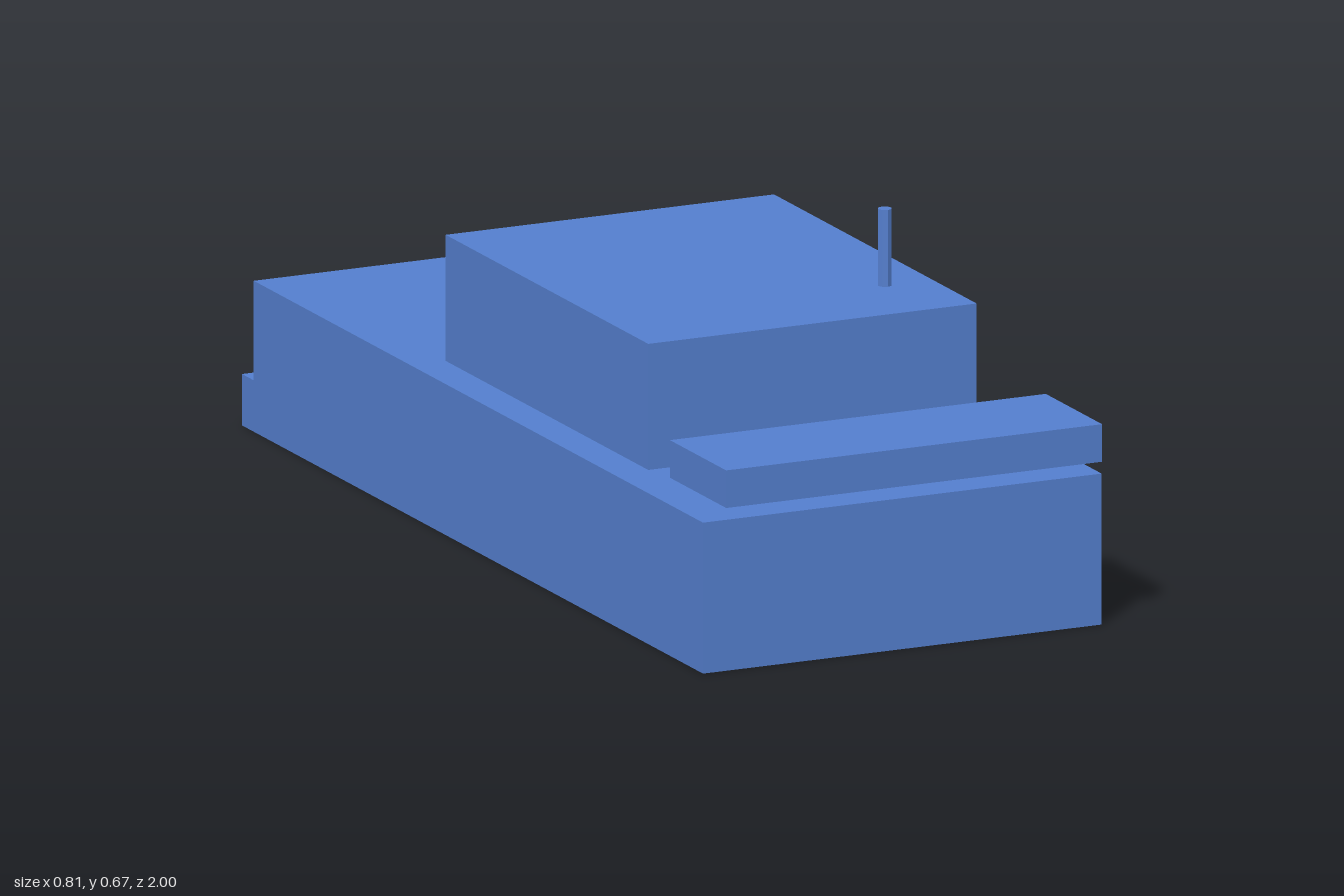
import * as THREE from 'three';

export function createModel() {
  const group = new THREE.Group();
  const blue = new THREE.MeshStandardMaterial({ color: 0x5580d0, flatShading: true });
  blue.name = 'blue';

  // Box centred on x, given its half width and its y and z ranges
  function block(name, halfWidth, y0, y1, z0, z1) {
    const mesh = new THREE.Mesh(new THREE.BoxGeometry(halfWidth * 2, y1 - y0, z1 - z0), blue);
    mesh.position.set(0, (y0 + y1) / 2, (z0 + z1) / 2);
    mesh.name = name;
    group.add(mesh);
  }

  // Main body and the cabin on top
  block('hull', 0.403, 0, 0.285, -0.95, 0.95);
  block('cabin', 0.332, 0.285, 0.523, -0.287, 0.57);

  // Rear step with a narrower plate above it
  block('rearStep', 0.403, 0, 0.097, -1, -0.95);
  block('rearPlate', 0.38, 0.097, 0.238, -1, -0.95);

  // Slab hovering over the front edge
  block('frontSlab', 0.38, 0.322, 0.393, 0.762, 1);

  // Thin mast on the cabin roof
  const mast = new THREE.Mesh(new THREE.CylinderGeometry(0.0135, 0.0135, 0.145, 8), blue);
  mast.position.set(0.237, 0.5955, 0.38);
  mast.name = 'mast';
  group.add(mast);

  return group;
}
